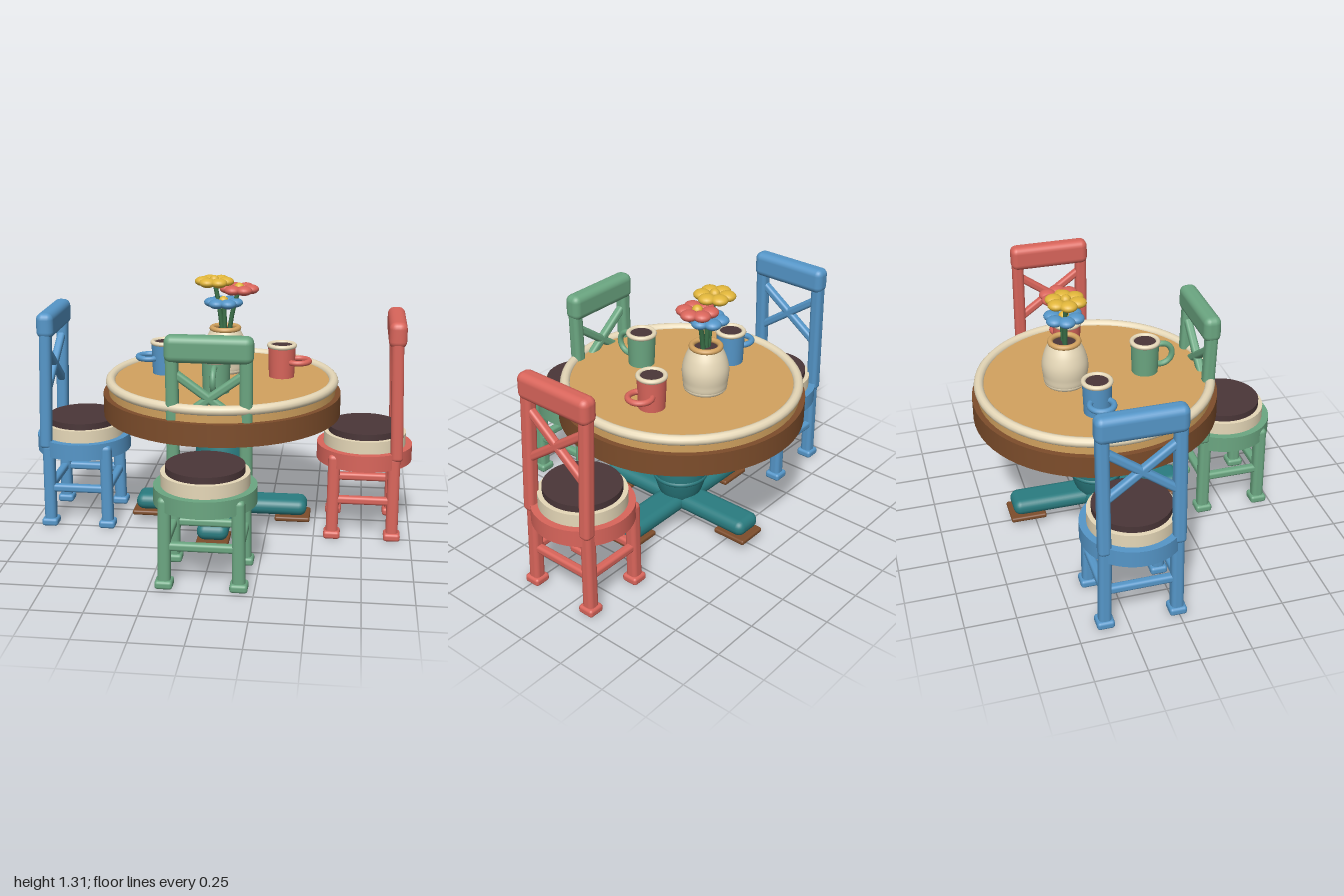
import * as THREE from 'three';
import { RoundedBoxGeometry } from 'three/addons/geometries/RoundedBoxGeometry.js';

const V = (x, y, z) => new THREE.Vector3(x, y, z);
const mat = (color) => new THREE.MeshStandardMaterial({ color, side: THREE.DoubleSide });
const M = {
  red: mat(0xd9655b), green: mat(0x6ba681), blue: mat(0x5596c8), cream: mat(0xe6d8b8),
  dark: mat(0x4a3638), teal: mat(0x2a7c80), brown: mat(0x7d4d2b), wood: mat(0xd2a25f),
  yellow: mat(0xe0b53a), stem: mat(0x3a7048),
};

function add(parent, name, geometry, material, x = 0, y = 0, z = 0) {
  const mesh = new THREE.Mesh(geometry, material);
  mesh.name = name;
  mesh.position.set(x, y, z);
  parent.add(mesh);
  return mesh;
}

function group(parent, name, x = 0, y = 0, z = 0) {
  const g = new THREE.Group();
  g.name = name;
  g.position.set(x, y, z);
  parent.add(g);
  return g;
}

const rounded = (w, h, d, r) => new RoundedBoxGeometry(w, h, d, 3, r);

// Upright cylinder given by its bottom and top heights
const disc = (parent, name, r, y0, y1, material, rBottom = r) =>
  add(parent, name, new THREE.CylinderGeometry(r, rBottom, y1 - y0, 64), material, 0, (y0 + y1) / 2, 0);

// Flat ring lying in the horizontal plane
const ring = (parent, name, R, r, y, material) => {
  const m = add(parent, name, new THREE.TorusGeometry(R, r, 12, 64), material, 0, y, 0);
  m.rotation.x = Math.PI / 2;
  return m;
};

// Soft-edged square bar between two points
function bar(parent, name, a, b, t, material) {
  const dir = b.clone().sub(a);
  const mid = a.clone().add(b).multiplyScalar(0.5);
  const m = add(parent, name, rounded(t, dir.length(), t, t * 0.35), material, mid.x, mid.y, mid.z);
  m.quaternion.setFromUnitVectors(V(0, 1, 0), dir.normalize());
  return m;
}

const lathe = (points) => new THREE.LatheGeometry(
  new THREE.SplineCurve(points.map(([r, y]) => new THREE.Vector2(r, y))).getPoints(32), 48);

function buildTable(root) {
  const table = group(root, 'table', 0, 0, -0.16);
  disc(table, 'apron', 0.618, 0.625, 0.738, M.brown);
  disc(table, 'tableTop', 0.59, 0.73, 0.802, M.wood);
  ring(table, 'tableRim', 0.58, 0.025, 0.798, M.cream);

  // Pedestal with its collar and the braces under the top
  add(table, 'pedestal', lathe([[0.1, 0.13], [0.12, 0.18], [0.14, 0.26], [0.143, 0.36],
    [0.13, 0.47], [0.105, 0.55], [0.085, 0.63]]), M.teal);
  ring(table, 'pedestalCollar', 0.13, 0.015, 0.25, M.teal);
  for (const turn of [0, Math.PI / 2]) {
    const brace = add(table, 'brace', new THREE.CapsuleGeometry(0.02, 0.26, 6, 16), M.teal, 0, 0.605, 0);
    brace.rotation.set(0, turn, Math.PI / 2);
    const foot = add(table, 'crossFoot', rounded(0.915, 0.085, 0.16, 0.04), M.teal, 0, 0.11, 0);
    foot.rotation.y = turn;
  }
  for (let i = 0; i < 4; i++) {
    const arm = group(table, 'footPadArm');
    arm.rotation.y = i * Math.PI / 2;
    add(arm, 'footPad', rounded(0.185, 0.026, 0.165, 0.01), M.brown, 0.383, 0.053, 0);
  }
}

// Chair with its back toward local -z
function buildChair(root, name, material, x, z, turn) {
  const chair = group(root, name, x, 0, z);
  chair.rotation.y = turn;
  const lx = 0.178, lz = 0.155;

  disc(chair, 'seatRing', 0.248, 0.387, 0.472, material);
  disc(chair, 'cushionBase', 0.213, 0.47, 0.537, M.cream);
  disc(chair, 'cushion', 0.19, 0.53, 0.57, M.dark);

  for (const sx of [-1, 1]) {
    for (const sz of [-1, 1]) {
      bar(chair, 'leg', V(sx * lx, 0.02, sz * lz), V(sx * lx * 0.97, 0.455, sz * lz * 0.98), 0.062, material);
      add(chair, 'foot', rounded(0.086, 0.042, 0.086, 0.015), material, sx * lx, 0.021, sz * lz);
    }
    bar(chair, 'backPost', V(sx * lx, 0.43, -0.165), V(sx * lx, 1.13, -0.14), 0.062, material);
    bar(chair, 'sideStretcher', V(sx * lx, 0.21, -lz), V(sx * lx, 0.21, lz), 0.042, material);
    bar(chair, 'crossStretcher', V(-lx, 0.21, sx * lz), V(lx, 0.21, sx * lz), 0.042, material);
    bar(chair, 'backCross', V(-sx * 0.17, 0.72, -0.155), V(sx * 0.17, 0.97, -0.147), 0.042, material);
  }
  add(chair, 'topRail', rounded(0.427, 0.133, 0.09, 0.035), material, 0, 1.09, -0.143);
}

// Mug with a handle ring offset along (dx, dz); flat lays the ring level
function buildMug(root, name, material, x, z, dx, dz, flat) {
  const mug = group(root, name, x, 0, z);
  disc(mug, 'mugBody', 0.072, 0.8, 0.965, material, 0.066);
  ring(mug, 'mugRim', 0.066, 0.012, 0.968, M.cream);
  disc(mug, 'drink', 0.058, 0.955, 0.97, M.dark);
  const handle = add(mug, 'mugHandle', new THREE.TorusGeometry(0.058, 0.015, 12, 32), material, dx, 0.886, dz);
  if (flat) handle.rotation.x = Math.PI / 2;
  else handle.rotation.y = Math.PI / 2;
}

function buildFlowers(root) {
  const vase = group(root, 'vaseWithFlowers', 0, 0, -0.31);
  add(vase, 'vase', lathe([[0, 0.8], [0.095, 0.805], [0.112, 0.86], [0.115, 0.92],
    [0.1, 0.98], [0.076, 1.03]]), M.cream);
  ring(vase, 'vaseFoot', 0.09, 0.018, 0.818, M.cream);
  ring(vase, 'vaseRim', 0.07, 0.014, 1.033, M.wood);
  disc(vase, 'vaseOpening', 0.062, 1.01, 1.025, M.dark);

  const blooms = [[-0.058, 1.28, M.yellow], [0.073, 1.243, M.red], [-0.01, 1.17, M.blue]];
  for (const [x, y, material] of blooms) {
    const curve = new THREE.QuadraticBezierCurve3(V(x * 0.3, 1, 0), V(x * 0.4, 1.12, 0), V(x, y, 0));
    add(vase, 'stem', new THREE.TubeGeometry(curve, 12, 0.012, 8), M.stem);
    const flower = group(vase, 'flower', x, y, 0);
    for (let i = 0; i < 6; i++) {
      const a = i * Math.PI / 3;
      const petal = add(flower, 'petal', new THREE.SphereGeometry(0.043, 20, 14), material,
        Math.cos(a) * 0.06, 0, Math.sin(a) * 0.06);
      petal.scale.y = 0.58;
    }
    add(flower, 'flowerCentre', new THREE.SphereGeometry(0.027, 16, 12), M.yellow, 0, 0.006, 0);
  }
}

export function createModel() {
  const root = new THREE.Group();
  root.name = 'diningSet';
  buildTable(root);
  buildChair(root, 'greenChair', M.green, 0, 0.532, 0);
  buildChair(root, 'redChair', M.red, 0.75, -0.183, -Math.PI / 2);
  buildChair(root, 'blueChair', M.blue, -0.75, -0.183, Math.PI / 2);
  buildMug(root, 'greenMug', M.green, 0, 0.103, 0, 0.085, false);
  buildMug(root, 'redMug', M.red, 0.306, -0.227, 0.085, 0, true);
  buildMug(root, 'blueMug', M.blue, -0.31, -0.227, -0.085, 0, true);
  buildFlowers(root);
  return root;
}
